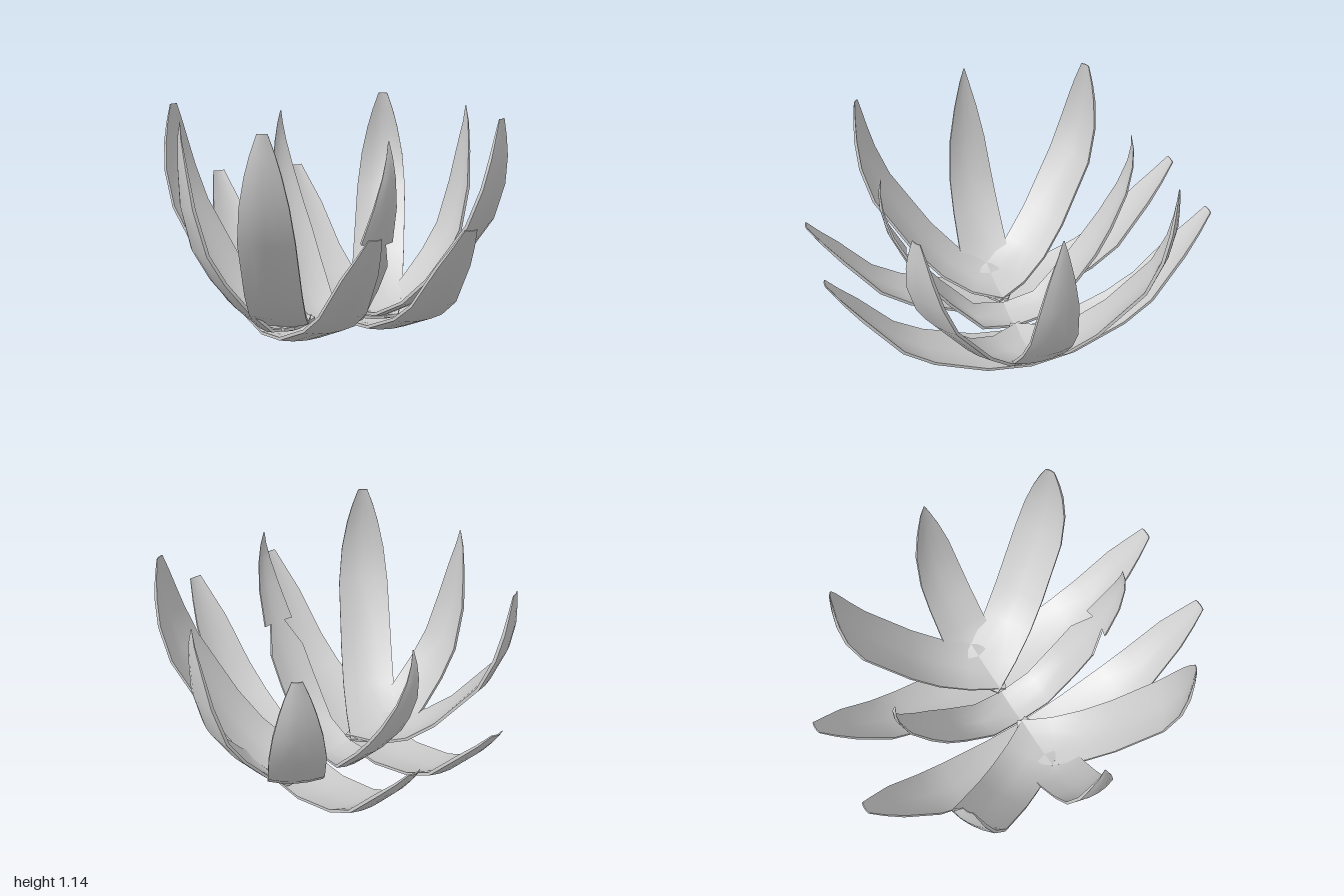
import * as THREE from 'three';
import { toCreasedNormals } from 'three/addons/utils/BufferGeometryUtils.js';

const material = new THREE.MeshStandardMaterial({ color: 0xcccccc, side: THREE.DoubleSide });
const COLS = [-1, -0.5, 0, 0.5, 1];
const RING = COLS.length * 2;

// Petal shell growing along +z. Each profile row is [reach, height, half width].
// tornRow leaves out the two edge triangles after that row.
function petalGeometry(rows, tornRow = -1) {
  const pos = [], index = [];
  rows.forEach(([z, y, w], i) => {
    const p = rows[Math.max(i - 1, 0)], q = rows[Math.min(i + 1, rows.length - 1)];
    const len = Math.hypot(q[0] - p[0], q[1] - p[1]);
    const nz = (q[1] - p[1]) / len, ny = -(q[0] - p[0]) / len;
    const k = Math.min(1, w / 0.09);
    const put = (u, depth) => {
      const off = -(0.018 * u * u + depth) * k;
      pos.push(u * w, y + ny * off, z + nz * off);
    };
    COLS.forEach(u => put(u, 0));                      // outer skin
    [...COLS].reverse().forEach(u => put(u, 0.016));   // inner skin
  });
  for (let i = 0; i < rows.length - 1; i++) {
    for (let j = 0; j < RING; j++) {
      const a = i * RING + j, b = i * RING + (j + 1) % RING, c = a + RING, d = b + RING;
      const side = j % 5, torn = i === tornRow;
      if (side === 4 && torn) continue;
      if (side < 2) {
        index.push(a, b, d);
        if (!(torn && side === 0)) index.push(a, d, c);
      } else {
        index.push(a, b, c);
        if (!(torn && side === 3)) index.push(b, d, c);
      }
    }
  }
  // end caps
  const last = (rows.length - 1) * RING;
  for (let j = 0; j < 4; j++) {
    const o = j, o2 = j + 1, n = RING - 1 - j, n2 = RING - 2 - j;
    index.push(o, n, n2, o, n2, o2);
    index.push(last + o, last + n2, last + n, last + o, last + o2, last + n2);
  }
  const g = new THREE.BufferGeometry();
  g.setAttribute('position', new THREE.Float32BufferAttribute(pos, 3));
  g.setIndex(index);
  return toCreasedNormals(g, 1.0);
}

const LOW = [
  [0, 0, 0.142], [0.24, 0.035, 0.142], [0.52, 0.15, 0.134], [0.68, 0.26, 0.123],
  [0.86, 0.485, 0.09], [0.94, 0.6, 0.06], [1, 0.7, 0.032],
];
const DIAGONAL = [
  [-0.1, 0.05, 0.13], [0.1, 0.07, 0.135], [0.27, 0.16, 0.14], [0.42, 0.305, 0.14], [0.64, 0.61, 0.135],
  [0.71, 0.8, 0.115], [0.735, 0.95, 0.085], [0.735, 1.05, 0.058], [0.73, 1.145, 0.025],
];
const SIDE = [
  [0, 0.045, 0.138], [0.13, 0.05, 0.137], [0.26, 0.17, 0.134], [0.38, 0.32, 0.128], [0.47, 0.475, 0.12],
  [0.53, 0.71, 0.097], [0.543, 0.9, 0.062], [0.545, 1.05, 0.026], [0.535, 1.135, 0.003],
];
const CENTRE = [
  [0, 0.03, 0.1], [0.19, 0.07, 0.103], [0.37, 0.28, 0.103], [0.47, 0.42, 0.1], [0.55, 0.56, 0.084],
  [0.63, 0.75, 0.06], [0.66, 0.9, 0.035], [0.66, 1.0, 0.017], [0.645, 1.075, 0.003],
];

export function createModel() {
  const flower = new THREE.Group();
  flower.name = 'flower';
  const add = (name, geometry, x, angle) => {
    const mesh = new THREE.Mesh(geometry, material);
    mesh.name = name;
    mesh.position.x = x;
    mesh.rotation.y = angle;
    flower.add(mesh);
  };
  const low = petalGeometry(LOW), diagonal = petalGeometry(DIAGONAL), side = petalGeometry(SIDE);

  for (const s of [1, -1]) {
    const label = s > 0 ? 'Left' : 'Right';
    // low outer petals
    add('lowFrontPetal' + label, low, s * 0.242, 0);
    add('lowBackPetal' + label, low, s * 0.242, Math.PI);
    // tall slanting petals
    add('diagonalFrontPetal' + label, diagonal, s * 0.26, s * Math.PI / 6);
    add('diagonalBackPetal' + label, diagonal, s * 0.26, s * Math.PI * 5 / 6);
    // tall side petals
    add('sidePetal' + label, side, s * 0.26, s * Math.PI / 2);
  }
  // slim middle petals, the front one notched
  add('centreFrontPetal', petalGeometry(CENTRE, 3), 0, 0);
  add('centreBackPetal', petalGeometry(CENTRE), 0, Math.PI);
  return flower;
}
